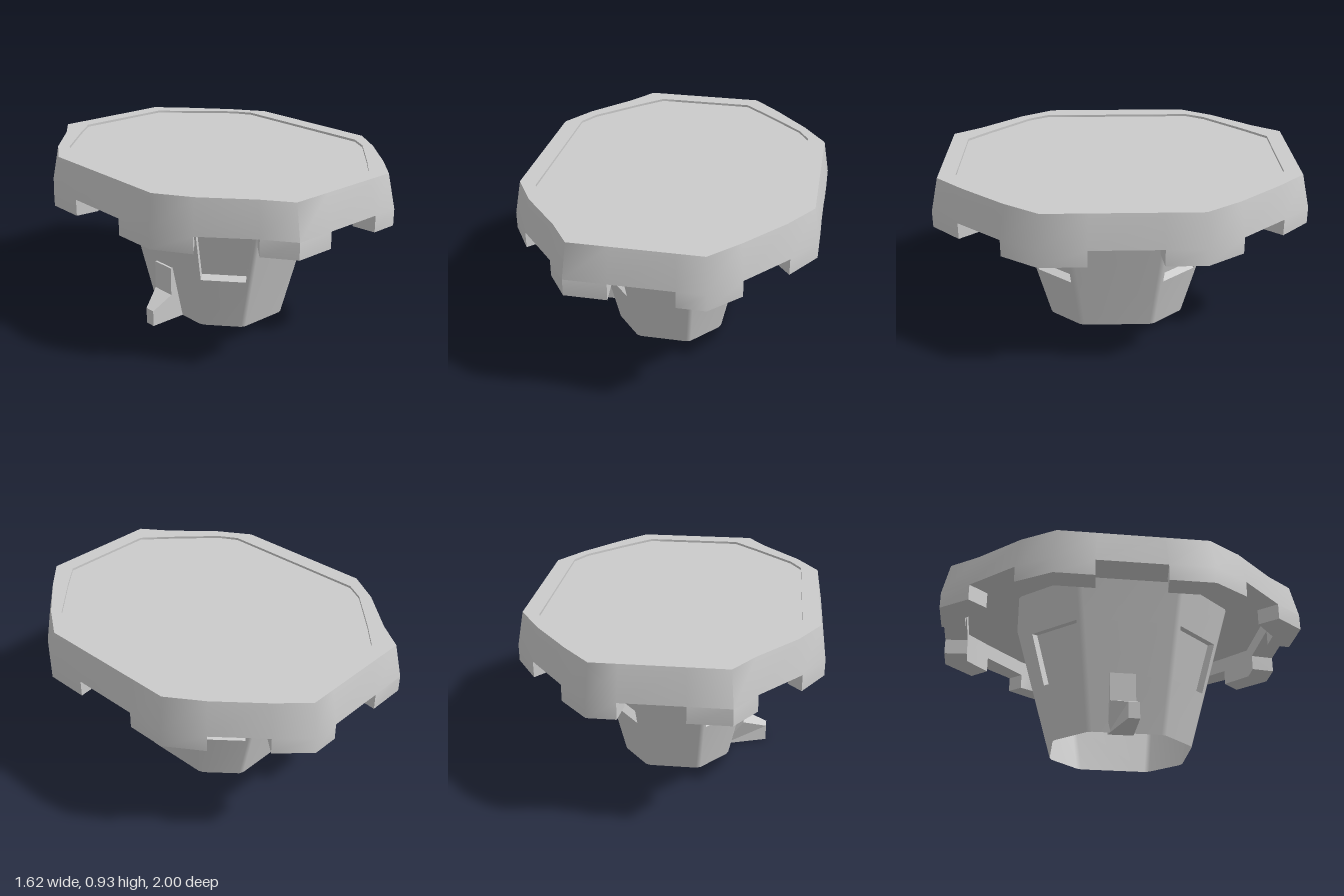
import * as THREE from 'three';
import { mergeVertices, toCreasedNormals } from 'three/addons/utils/BufferGeometryUtils.js';

const material = new THREE.MeshStandardMaterial({ color: 0xcccccc, side: THREE.DoubleSide });

// Mirror one quadrant of [x, z] points (front to side) into a closed counterclockwise ring.
// Optional third and fourth numbers shift the point after mirroring.
function ring(list) {
  const points = [];
  [[1, 1], [1, -1], [-1, -1], [-1, 1]].forEach(([sx, sz], q) => {
    const part = list.map(([x, z, dx = 0, dz = 0]) => [x * sx + dx, z * sz + dz]);
    points.push(...(q % 2 ? part.reverse() : part));
  });
  return points;
}

// Collects four-cornered faces into one geometry.
function faceBuilder() {
  const positions = [];
  return {
    quad(a, b, c, d) {
      for (const p of [a, b, c, a, c, d]) positions.push(p.x, p.y, p.z);
    },
    geometry() {
      const geometry = new THREE.BufferGeometry();
      geometry.setAttribute('position', new THREE.Float32BufferAttribute(positions, 3));
      return geometry;
    },
  };
}

function named(geometry, name) {
  const mesh = new THREE.Mesh(geometry, material);
  mesh.name = name;
  return mesh;
}

const v = (x, y, z) => new THREE.Vector3(x, y, z);
const RIM_LOW = 0.65, NOTCH = 0.74, UNDERSIDE = 0.83, DECK = 0.912, RIM_TOP = 0.925;

const rimInner = ring([[0.165, 0.868], [0.27, 0.868], [0.4, 0.75], [0.62, 0.535], [0.68, 0.43], [0.68, 0.19]]);
const rimOuter = ring([
  [0.165, 1, 0.015, 0], [0.35, 1, -0.02, 0], [0.48, 0.845],
  [0.685, 0.61, -0.005, 0], [0.808, 0.42], [0.808, 0.19, 0, -0.015],
]);

// Octagonal rim: upright skirt with a notch in every side, leaning inward above
function createRim() {
  const faces = faceBuilder();
  const n = rimOuter.length;
  const isNotch = (i) => i % 6 === 2 || i % 6 === 5;
  const outer = (i, y) => {
    const [x, z] = rimOuter[i % n];
    const s = y > NOTCH ? 0.96 : 1;
    return v(x * s, y, z * s);
  };
  const inner = (i, y) => v(rimInner[i % n][0], y, rimInner[i % n][1]);
  for (let i = 0; i < n; i++) {
    const j = i + 1;
    const low = isNotch(i) ? NOTCH : RIM_LOW;
    if (!isNotch(i)) faces.quad(outer(i, low), outer(j, low), outer(j, NOTCH), outer(i, NOTCH));
    faces.quad(outer(i, NOTCH), outer(j, NOTCH), outer(j, RIM_TOP), outer(i, RIM_TOP));
    faces.quad(inner(j, low), inner(i, low), inner(i, RIM_TOP), inner(j, RIM_TOP));
    faces.quad(outer(i, RIM_TOP), outer(j, RIM_TOP), inner(j, RIM_TOP), inner(i, RIM_TOP));
    faces.quad(inner(i, low), inner(j, low), outer(j, low), outer(i, low));
    // end walls of the notch
    if (isNotch(i)) {
      faces.quad(inner(i, RIM_LOW), inner(i, NOTCH), outer(i, NOTCH), outer(i, RIM_LOW));
      faces.quad(outer(j, RIM_LOW), outer(j, NOTCH), inner(j, NOTCH), inner(j, RIM_LOW));
    }
  }
  return named(toCreasedNormals(faces.geometry(), 0.95), 'rim');
}

// Flat slab sunk slightly below the rim
function createDeck() {
  const shape = new THREE.Shape(rimInner.map(([x, z]) => new THREE.Vector2(x, -z)));
  const geometry = new THREE.ExtrudeGeometry(shape, { depth: DECK - UNDERSIDE, bevelEnabled: false });
  geometry.rotateX(-Math.PI / 2).translate(0, UNDERSIDE, 0);
  return named(geometry, 'deck');
}

// Hollow tapered pedestal with softened corners and recessed panels on its diagonal sides
function createPedestal() {
  const faces = faceBuilder();
  const panels = faceBuilder();
  const bottom = ring([[0.13, 0.38], [0.155, 0.37], [0.29, 0.213], [0.3, 0.185]]);
  const top = ring([[0.185, 0.55], [0.207, 0.541], [0.43, 0.278], [0.44, 0.25]]);
  const n = bottom.length;
  const corner = (i, y) => {
    const a = bottom[i % n], b = top[i % n], t = y / 0.65;
    return v(a[0] + (b[0] - a[0]) * t - 0.01, y, a[1] + (b[1] - a[1]) * t + 0.02);
  };
  const levels = [0, 0.302, 0.6, UNDERSIDE];
  for (let i = 0; i < n; i++) {
    const at = (t, y) => corner(i, y).lerp(corner(i + 1, y), t);
    const patch = (t0, t1, y0, y1) => faces.quad(at(t0, y0), at(t1, y0), at(t1, y1), at(t0, y1));
    for (let k = 0; k < 3; k++) {
      const [y0, y1] = [levels[k], levels[k + 1]];
      if (i % 4 !== 1 || k !== 1) {
        patch(0, 1, y0, y1);
        continue;
      }
      // frame strips beside the opening
      const t0 = 0.05, t1 = 0.95;
      patch(0, t0, y0, y1);
      patch(t1, 1, y0, y1);
      // recess walls and back panel, with a sill that rises inward
      const front = [at(t0, y0), at(t1, y0), at(t1, y1), at(t0, y1)];
      const normal = front[1].clone().sub(front[0]).cross(front[3].clone().sub(front[0])).normalize();
      const back = front.map((p) => p.clone().addScaledVector(normal, -0.045));
      back[0].y += 0.008;
      back[1].y += 0.008;
      for (let e = 0; e < 4; e++) {
        const f = (e + 1) % 4;
        panels.quad(front[e], front[f], back[f], back[e]);
      }
      panels.quad(...back);
    }
  }
  const shell = mergeVertices(faces.geometry());
  shell.computeVertexNormals();
  const group = new THREE.Group();
  group.name = 'pedestal';
  group.add(named(shell, 'pedestalShell'), named(toCreasedNormals(panels.geometry(), 0.3), 'recessedPanels'));
  return group;
}

// Stepped bracket on the right side of the pedestal, narrowing toward its toe
function createBracket() {
  const profile = [[-0.28, 0], [-0.28, 0.31], [-0.39, 0.31], [-0.39, 0.15], [-0.52, 0.09], [-0.52, 0]];
  const shape = new THREE.Shape(profile.map(([x, y]) => new THREE.Vector2(x, y)));
  const geometry = new THREE.ExtrudeGeometry(shape, { depth: 0.14, bevelEnabled: false });
  geometry.translate(0, 0, -0.08);
  const p = geometry.attributes.position;
  for (let i = 0; i < p.count; i++) {
    if (p.getX(i) < -0.5 && p.getZ(i) < 0) p.setZ(i, 0);
  }
  geometry.computeVertexNormals();
  return named(geometry, 'footBracket');
}

export function createModel() {
  const model = new THREE.Group();
  model.name = 'pedestalTable';
  model.add(createRim(), createDeck(), createPedestal(), createBracket());
  return model;
}
